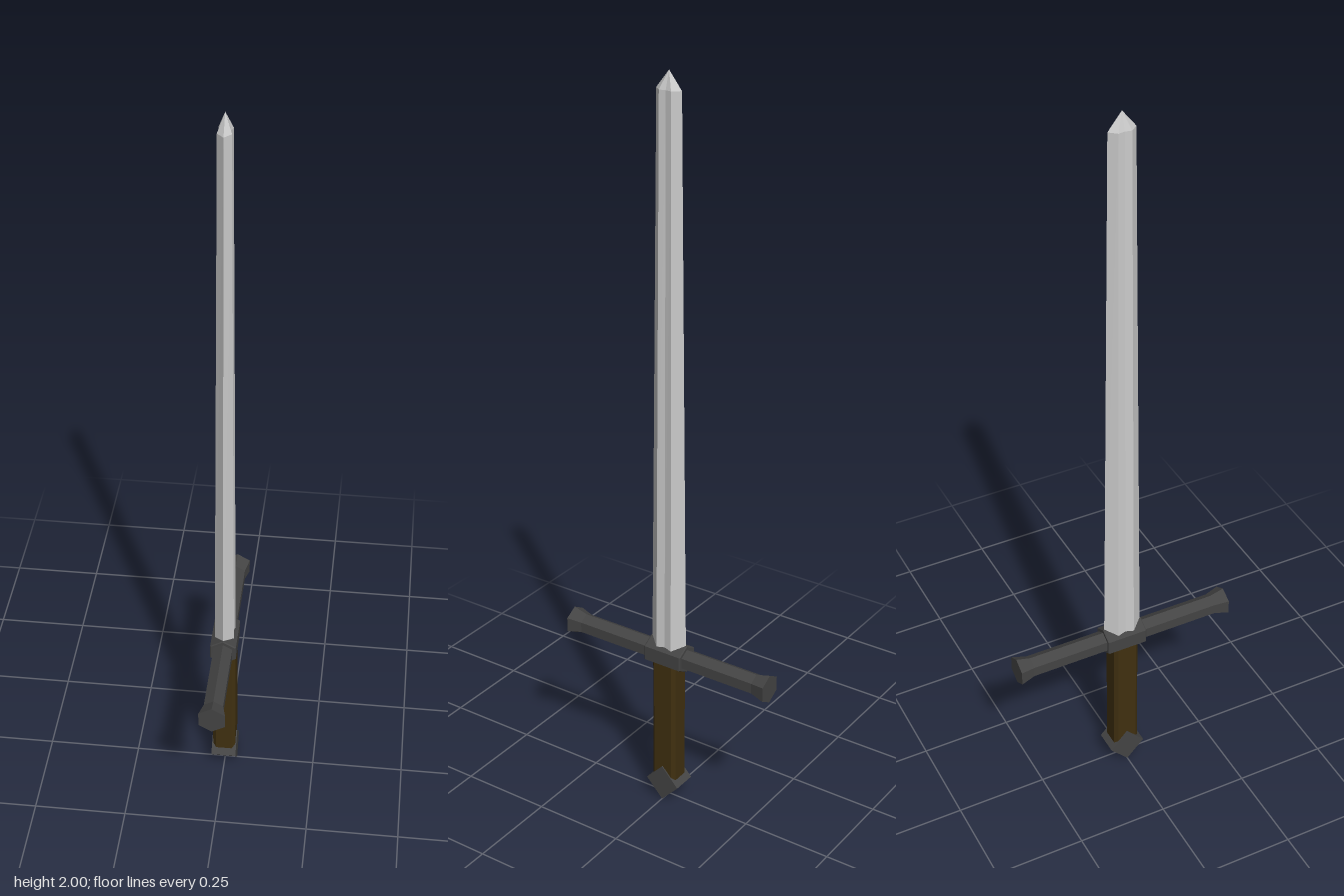
import * as THREE from 'three';

const mat = (color) => new THREE.MeshStandardMaterial({ color, flatShading: true });

function add(group, name, geometry, material) {
  const mesh = new THREE.Mesh(geometry, material);
  mesh.name = name;
  group.add(mesh);
  return mesh;
}

// Skin between stacked rings: { y, pts: [[x, z], ...] }, counter-clockwise from above
function loft(rings) {
  const n = rings[0].pts.length;
  const pos = rings.flatMap(({ y, pts }) => pts.flatMap(([x, z]) => [x, y, z]));
  const index = [];
  for (let r = 0; r < rings.length - 1; r++) {
    for (let i = 0; i < n; i++) {
      const a = r * n + i, b = r * n + (i + 1) % n;
      index.push(a, b, b + n, a, b + n, a + n);
    }
  }
  const geo = new THREE.BufferGeometry();
  geo.setAttribute('position', new THREE.Float32BufferAttribute(pos, 3));
  geo.setIndex(index);
  const flat = geo.toNonIndexed();
  flat.computeVertexNormals();
  return flat;
}

// Blade section: sharp edges on z, two ridges per side, shallow groove between
const bladeRing = (y, edge, ridgeX, ridgeZ, grooveX) => ({
  y,
  pts: [[0, edge], [ridgeX, ridgeZ], [grooveX, 0], [ridgeX, -ridgeZ],
    [0, -edge], [-ridgeX, -ridgeZ], [-grooveX, 0], [-ridgeX, ridgeZ]],
});

// Rectangle with chamfered corners
const chamferRing = (y, x, z, c) => ({
  y,
  pts: [[x - c, z], [x, z - c], [x, c - z], [x - c, -z],
    [c - x, -z], [-x, c - z], [-x, z - c], [c - x, z]],
});

// Six-sided turned bar lying along z, with a ridge at the top
function hexBar(profile) {
  const pts = profile.map(([r, l]) => new THREE.Vector2(r, l));
  return new THREE.LatheGeometry(pts, 6).rotateX(Math.PI / 2);
}

export function createModel() {
  const sword = new THREE.Group();
  sword.name = 'sword';
  const steel = mat(0xcccccc);
  const iron = mat(0x444444);
  const leather = mat(0x403010);

  // Tapering blade with a short point
  add(sword, 'blade', loft([
    bladeRing(0.44, 0.054, 0.026, 0.023, 0.021),
    bladeRing(1.955, 0.036, 0.017, 0.017, 0.014),
    bladeRing(2, 0, 0, 0, 0),
  ]), steel);

  // Crossguard with flared ends and a heavier middle block
  const guard = new THREE.Group();
  guard.name = 'crossguard';
  guard.position.y = 0.448;
  sword.add(guard);
  add(guard, 'guardBar', hexBar([
    [0, -0.312], [0.04, -0.312], [0.029, -0.272],
    [0.029, 0.272], [0.04, 0.312], [0, 0.312],
  ]), iron);
  add(guard, 'guardBlock', hexBar([
    [0, -0.057], [0.038, -0.057], [0.04, -0.054],
    [0.04, 0.054], [0.038, 0.057], [0, 0.057],
  ]), iron);

  // Grip
  add(sword, 'grip', loft([
    chamferRing(0.06, 0.031, 0.036, 0.009),
    chamferRing(0.44, 0.031, 0.036, 0.009),
  ]), leather);

  // Diamond pommel
  const pommel = new THREE.BoxGeometry(0.068, Math.SQRT1_2, Math.SQRT1_2)
    .rotateX(Math.PI / 4)
    .scale(1, 0.106, 0.1);
  add(sword, 'pommel', pommel, iron).position.y = 0.053;

  return sword;
}
